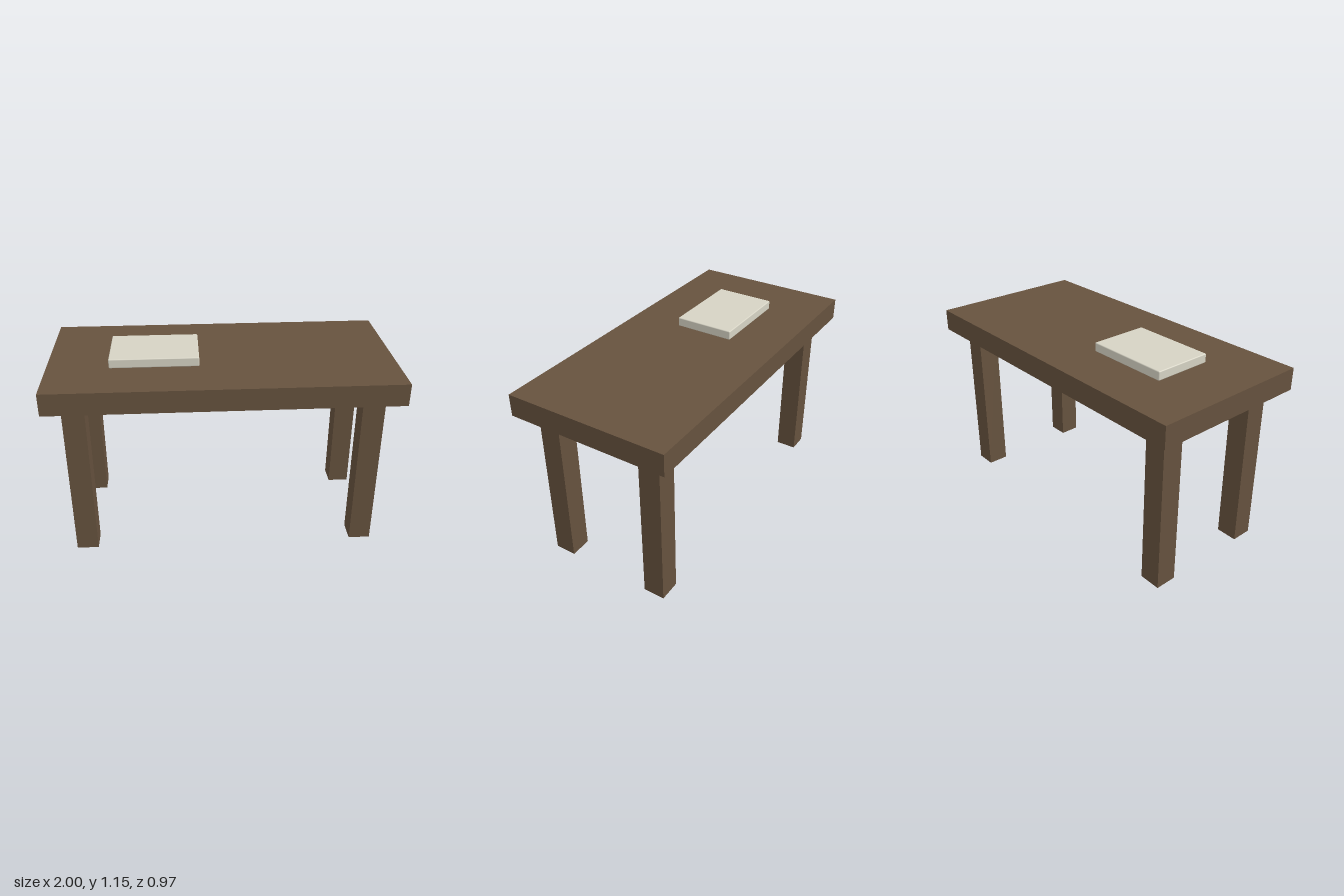
import * as THREE from 'three';
import { RoundedBoxGeometry } from 'three/addons/geometries/RoundedBoxGeometry.js';

export function createModel() {
  const model = new THREE.Group();
  model.name = 'table';
  const wood = new THREE.MeshStandardMaterial({ color: 0x66523e });
  const paper = new THREE.MeshStandardMaterial({ color: 0xd6d3c4 });

  const add = (name, geometry, material, x, y, z) => {
    const mesh = new THREE.Mesh(geometry, material);
    mesh.name = name;
    mesh.position.set(x, y, z);
    model.add(mesh);
  };

  // Thick slab top
  const legHeight = 0.97, topThickness = 0.13;
  add('tableTop', new THREE.BoxGeometry(2, topThickness, 0.968), wood,
    0, legHeight + topThickness / 2, 0);

  // Four square legs, set in from the corners
  const legGeometry = new THREE.BoxGeometry(0.128, legHeight, 0.128);
  for (const [side, x] of [['Left', 0.84], ['Right', -0.84]]) {
    for (const [end, z] of [['front', 0.323], ['back', -0.323]]) {
      add(`${end}${side}Leg`, legGeometry, wood, x, legHeight / 2, z);
    }
  }

  // Pale block with softened edges, lying on the top
  add('paleBlock', new RoundedBoxGeometry(0.512, 0.054, 0.358, 2, 0.006), paper,
    -0.39, legHeight + topThickness + 0.027, -0.001);

  return model;
}
